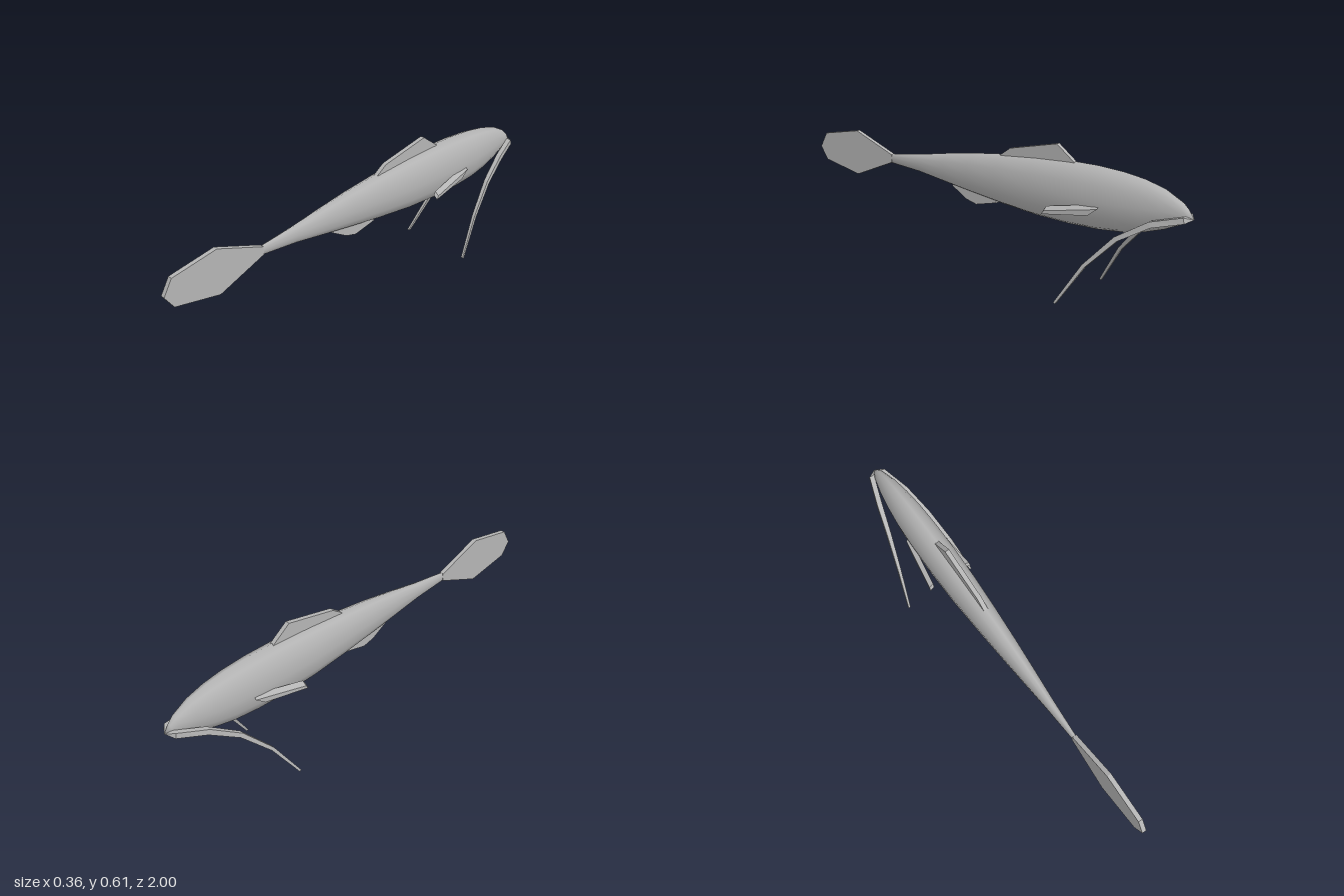
import * as THREE from 'three';

const skin = new THREE.MeshStandardMaterial({ color: 0xb4b4b4 });
skin.name = 'grey skin';
const flatSkin = new THREE.MeshStandardMaterial({ color: 0xb4b4b4, flatShading: true });
flatSkin.name = 'grey skin faceted';

// Skin a list of closed rings, closing both ends with a fan to the ring centre
function loft(rings) {
  const n = rings[0].length;
  const pos = rings.flat().flatMap(p => [p.x, p.y, p.z]);
  const index = [];
  for (let i = 0; i < rings.length - 1; i++) {
    for (let j = 0; j < n; j++) {
      const a = i * n + j, b = i * n + (j + 1) % n;
      index.push(a, b, b + n, a, b + n, a + n);
    }
  }
  [0, rings.length - 1].forEach((r, end) => {
    const c = rings[r].reduce((s, p) => s.add(p), new THREE.Vector3()).divideScalar(n);
    const k = pos.length / 3;
    if (end === 0) c.set(0, 0.4, -1).lerp(c, n === 12 ? 0 : 1); // pointed snout
    pos.push(c.x, c.y, c.z);
    for (let j = 0; j < n; j++) {
      const a = r * n + j, b = r * n + (j + 1) % n;
      index.push(k, ...(end ? [a, b] : [b, a]));
    }
  });
  const geo = new THREE.BufferGeometry();
  geo.setAttribute('position', new THREE.Float32BufferAttribute(pos, 3));
  geo.setIndex(index);
  geo.computeVertexNormals();
  return geo;
}

// Plate drawn as [z, y] points, with its thickness along x
function plate(points, thickness) {
  const shape = new THREE.Shape(points.map(p => new THREE.Vector2(...p)));
  const geo = new THREE.ExtrudeGeometry(shape, { depth: thickness, bevelEnabled: false });
  return geo.translate(0, 0, -thickness / 2).rotateY(-Math.PI / 2);
}

export function createModel() {
  const model = new THREE.Group();
  model.name = 'fish';
  const add = (name, geo, material) => {
    const mesh = new THREE.Mesh(geo, material);
    mesh.name = name;
    model.add(mesh);
  };

  // Body stations: z, half width, bottom, top
  const stations = [
    [-0.975, 0.014, 0.388, 0.435], [-0.95, 0.024, 0.373, 0.46], [-0.875, 0.042, 0.34, 0.5],
    [-0.79, 0.055, 0.313, 0.524], [-0.7, 0.064, 0.295, 0.538], [-0.58, 0.069, 0.285, 0.547],
    [-0.44, 0.07, 0.284, 0.548], [-0.28, 0.066, 0.292, 0.541], [-0.1, 0.056, 0.312, 0.527],
    [0.06, 0.045, 0.334, 0.509], [0.2, 0.034, 0.355, 0.488], [0.36, 0.021, 0.38, 0.461],
    [0.55, 0.008, 0.397, 0.437],
  ];
  add('body', loft(stations.map(([z, w, lo, hi]) =>
    Array.from({ length: 12 }, (_, j) => {
      const a = j / 12 * Math.PI * 2;
      return new THREE.Vector3(w * Math.cos(a), (lo + hi) / 2 + (hi - lo) / 2 * Math.sin(a), z);
    }))), skin);

  // Centre-line fins
  add('tailFin', plate([[0.53, 0.4], [0.75, 0.312], [0.96, 0.355], [1, 0.415],
    [0.96, 0.485], [0.75, 0.522], [0.53, 0.437]], 0.02), flatSkin);
  add('dorsalFin', plate([[-0.47, 0.545], [-0.46, 0.5], [-0.12, 0.48], [-0.1, 0.525],
    [-0.15, 0.56], [-0.385, 0.61]], 0.02), flatSkin);
  add('analFin', plate([[-0.08, 0.31], [0.03, 0.285], [0.085, 0.3], [0.165, 0.348],
    [0.13, 0.38], [-0.06, 0.36]], 0.02), flatSkin);

  // Barbel path: x, y, z, half width
  const path = [
    [0.027, 0.4, -0.975, 0.012], [0.068, 0.372, -0.855, 0.012], [0.104, 0.3, -0.73, 0.01],
    [0.14, 0.175, -0.61, 0.0075], [0.175, 0.005, -0.5, 0.005],
  ];
  for (const s of [1, -1]) {
    const side = s > 0 ? 'left' : 'right';
    add(side + 'Barbel', loft(path.map(([x, y, z, r], i) => {
      const p = path[Math.max(i - 1, 0)], q = path[Math.min(i + 1, path.length - 1)];
      const len = Math.hypot(q[1] - p[1], q[2] - p[2]);
      const ty = (q[1] - p[1]) / len, tz = (q[2] - p[2]) / len;
      return [[1, 1], [-1, 1], [-1, -1], [1, -1]].map(([u, v]) =>
        new THREE.Vector3(s * x + u * r, y + v * r * tz, z - v * r * ty));
    })), flatSkin);

    // Pectoral fin sweeps outwards towards the tail and leans down
    const fin = plate([[-0.62, 0.398], [-0.58, 0.367], [-0.38, 0.345], [-0.39, 0.36]], 0.02);
    const p = fin.attributes.position;
    for (let i = 0; i < p.count; i++) {
      const t = p.getX(i);
      p.setX(i, t + s * (0.063 + (p.getZ(i) + 0.62) * 0.14));
      p.setY(i, p.getY(i) - s * t * 0.8);
    }
    fin.computeVertexNormals();
    add(side + 'PectoralFin', fin, flatSkin);
  }
  return model;
}
